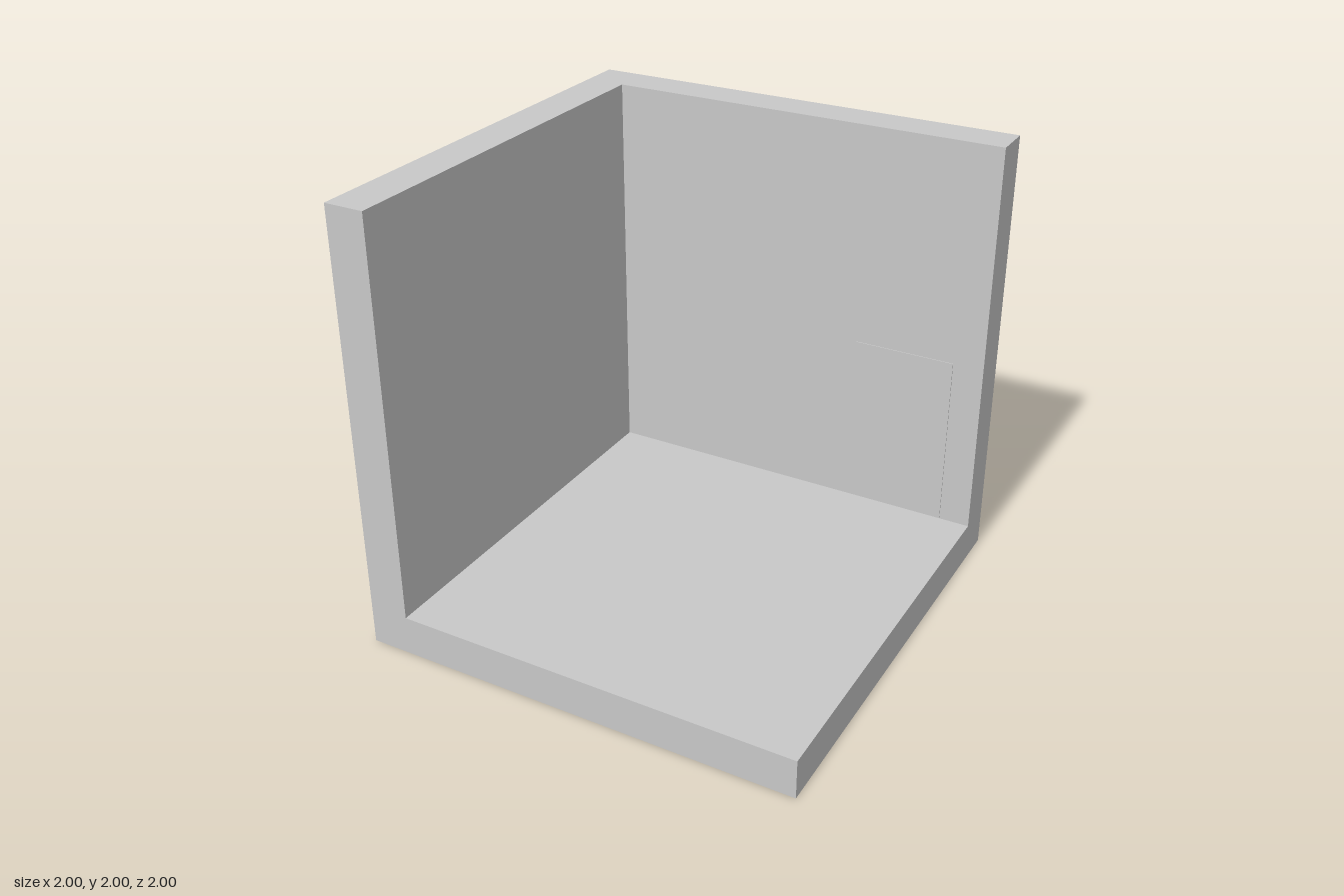
import * as THREE from 'three';

const plaster = new THREE.MeshStandardMaterial({ color: 0xc8c8c8 });
plaster.name = 'light grey';

// Box given by its lower and upper corners
function slab(name, [x0, y0, z0], [x1, y1, z1]) {
  const geometry = new THREE.BoxGeometry(x1 - x0, y1 - y0, z1 - z0);
  const mesh = new THREE.Mesh(geometry, plaster);
  mesh.name = name;
  mesh.position.set((x0 + x1) / 2, (y0 + y1) / 2, (z0 + z1) / 2);
  return mesh;
}

export function createModel() {
  const room = new THREE.Group();
  room.name = 'roomCorner';

  const T = 0.18;       // floor and wall thickness
  const inner = -1 + T; // inner face of both walls

  room.add(
    slab('floor', [-1, 0, -1], [1, T, 1]),
    slab('backWall', [-1, T, -1], [1, 2, inner]),
    slab('sideWall', [-1, T, inner], [inner, 2, 1]),
    // Thin door panel on the back wall
    slab('door', [0.4, 0.186, inner], [0.86, 0.985, inner + 0.004]),
  );
  return room;
}
